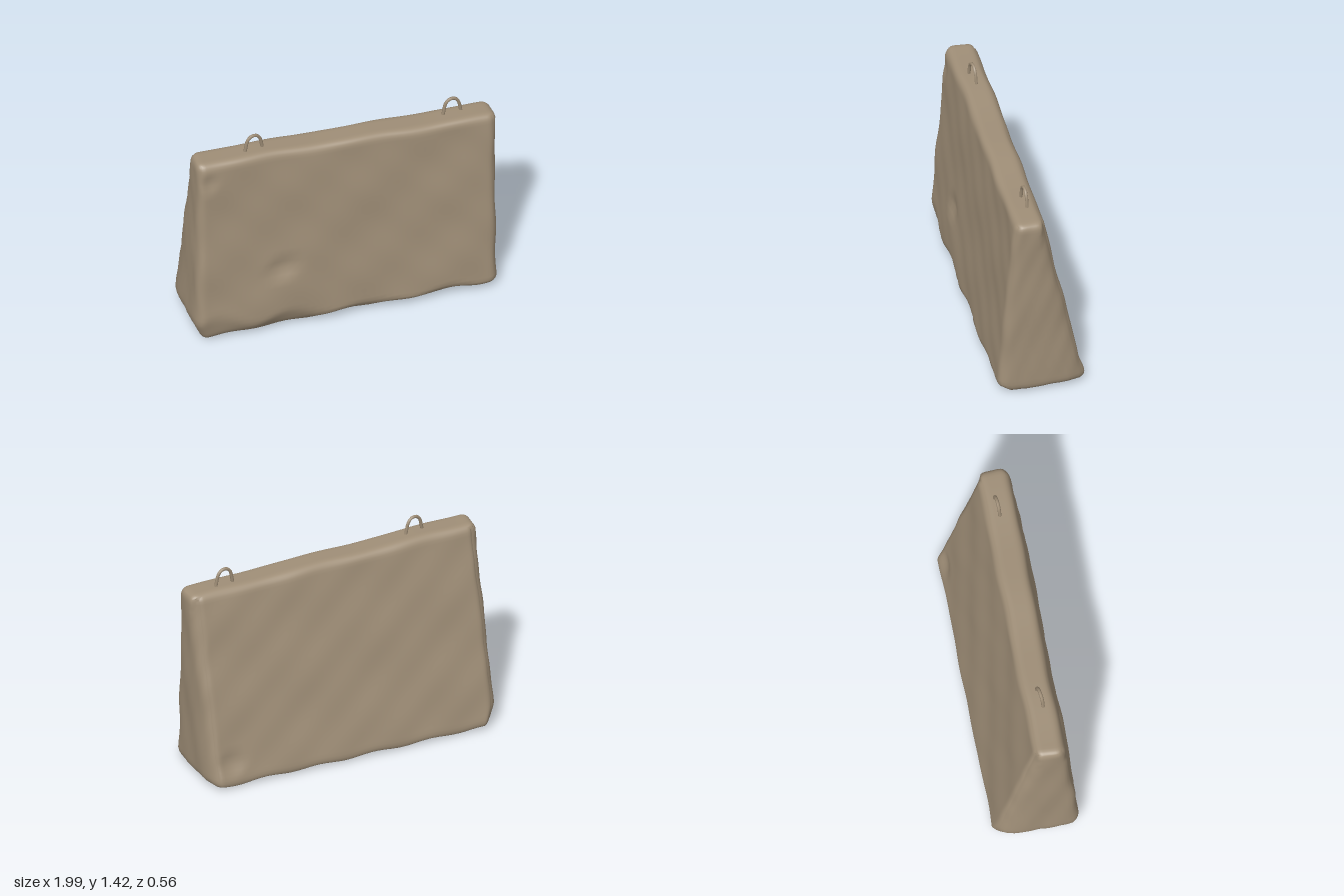
import * as THREE from 'three';
import { mergeVertices } from 'three/addons/utils/BufferGeometryUtils.js';

const { clamp, lerp, smoothstep } = THREE.MathUtils;
const HEIGHT = 1.29;

// Smooth bump centred on a point, falling to zero at the given radii
function bump(x, y, cx, cy, rx, ry) {
  const d = ((x - cx) / rx) ** 2 + ((y - cy) / ry) ** 2;
  return d < 1 ? (1 - d) ** 2 : 0;
}

// Gentle unevenness of worn stone
function wobble(a, b, seed) {
  return 0.5 * Math.sin(a * 6.1 + b * 3.7 + seed) * Math.cos(b * 7.3 - a * 2.3 + seed * 2)
    + 0.3 * Math.sin(a * 14.3 - b * 11.1 + seed * 3) + 0.2 * Math.sin(a * 25 + b * 19 + seed);
}

// Spreads grid lines so they gather near the edges
const gather = (u) => Math.sign(u) * (1 - (1 - Math.min(1, Math.abs(u))) ** 1.5);

// Tapered slab: a subdivided box with rounded, chipped edges
function slabGeometry() {
  let geo = new THREE.BoxGeometry(2, 2, 2, 56, 38, 14);
  geo.deleteAttribute('normal');
  geo.deleteAttribute('uv');
  geo = mergeVertices(geo);
  const pos = geo.attributes.position;
  const p = new THREE.Vector3(), inner = new THREE.Vector3(), half = new THREE.Vector3();
  for (let i = 0; i < pos.count; i++) {
    const ux = gather(pos.getX(i)), uy = gather(pos.getY(i)), uz = gather(pos.getZ(i));
    const t = (uy + 1) / 2;
    const front = lerp(0.278, 0.172, t), back = lerp(-0.288, -0.014, t);
    half.set(1, HEIGHT / 2, (front - back) / 2);
    p.set(ux, uy, uz).multiply(half);

    // round the edges, more at the foot than at the top
    const r = lerp(0.06, 0.045, t);
    inner.set(
      clamp(p.x, -half.x + r, half.x - r),
      clamp(p.y, -half.y + r, half.y - r),
      clamp(p.z, -half.z + r, half.z - r));
    const d = p.clone().sub(inner);
    if (d.lengthSq() > 0) p.copy(inner).addScaledVector(d.normalize(), r);

    let x = p.x, y = p.y + HEIGHT / 2, z = p.z + (front + back) / 2;
    const s = y / HEIGHT;

    // the ends lean and the lower corner is worn away
    x = x < 0 ? x * lerp(0.995, 0.945, s) : x * lerp(0.975, 0.992, s);
    const low = smoothstep(0.16 - y, 0, 0.16);
    if (x < -0.8) x += 0.055 * low * smoothstep(-x, 0.8, 1);
    const depth = Math.abs(uz);
    x -= Math.sign(x) * 0.035 * smoothstep(Math.abs(x), 0.8, 1) * depth ** 3 * (z < 0 ? 1 : 0.3);

    // uneven surfaces
    const w = wobble(x * 0.7, y, uz > 0 ? 1.3 : 4.1);
    z += 0.009 * w * uz;
    x += 0.008 * wobble(z * 2, y, 2.2) * ux ** 5;

    // broken lower front edge and shallow hollow
    if (uz > 0) {
      const chip = lerp(0.17, 0.07, smoothstep(x, -0.95, 0.3)) * (1 + 0.3 * Math.sin(x * 13));
      z -= 0.05 * smoothstep(chip - y, 0, chip) * uz;
      z -= 0.025 * bump(x, y, -0.42, 0.46, 0.14, 0.1) * uz;
      z += 0.014 * bump(x, y, -0.38, 0.24, 0.3, 0.24) * uz;
      z -= 0.015 * bump(x, y, -0.88, 1.16, 0.08, 0.08) * uz;
    } else {
      z += 0.02 * bump(x, y, 0.82, 0.16, 0.12, 0.1) * -uz;
    }

    // the top slopes down toward the left end
    y += s ** 2 * (lerp(0.034, -0.037, (x + 1) / 2) + 0.004 * Math.sin(x * 9));
    y = Math.max(0, y + 0.008 * (1 - s) ** 6 * (1 + Math.sin(x * 17 + z * 9)));
    pos.setXYZ(i, x, y, z);
  }
  geo.computeVertexNormals();
  return geo;
}

// Lifting loop: a bent rod set into the top
function loopGeometry(x, y, z, twist) {
  const outline = [[-0.066, -0.04], [-0.056, 0.02], [-0.04, 0.084], [-0.012, 0.106],
    [0.02, 0.102], [0.042, 0.076], [0.056, 0.02], [0.064, -0.04]];
  const path = new THREE.CatmullRomCurve3(
    outline.map(([a, b]) => new THREE.Vector3(x + a, y + b, z + a * twist)));
  return new THREE.TubeGeometry(path, 20, 0.0105, 6, false);
}

export function createModel() {
  const group = new THREE.Group();
  const stone = new THREE.MeshStandardMaterial({ color: 0x9f8e77 });
  stone.name = 'stone';
  const add = (name, geometry) => {
    const mesh = new THREE.Mesh(geometry, stone);
    mesh.name = name;
    group.add(mesh);
  };
  add('barrierSlab', slabGeometry());
  add('rightLiftingLoop', loopGeometry(-0.56, 1.305, 0.085, -0.17));
  add('leftLiftingLoop', loopGeometry(0.737, 1.26, 0.06, -0.1));
  return group;
}
